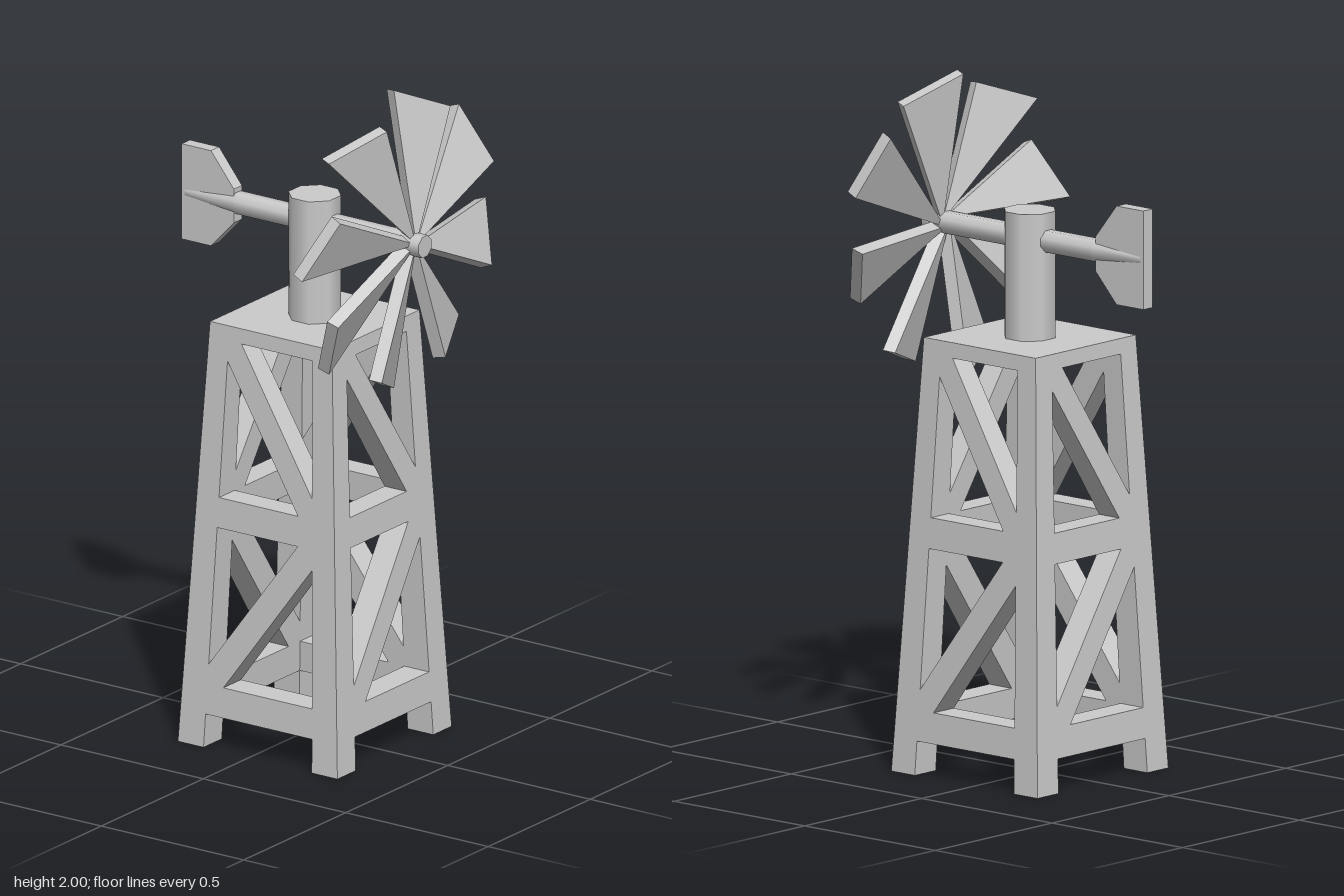
import * as THREE from 'three';

const material = new THREE.MeshStandardMaterial({ color: 0xcccccc });
const OUT = 0.28, INN = 0.19, DEPTH = OUT - INN; // outer and inner half widths at the foot
const TOP = 1.265, TOP_SCALE = 0.765;
const TOWER_Z = 0.033, AXIS_Y = 1.553;

function add(parent, name, geometry) {
  const mesh = new THREE.Mesh(geometry, material);
  mesh.name = name;
  parent.add(mesh);
  return mesh;
}

// Narrows a straight tower member towards the top
function taper(geometry) {
  const p = geometry.attributes.position;
  for (let i = 0; i < p.count; i++) {
    const s = 1 - (1 - TOP_SCALE) * p.getY(i) / TOP;
    p.setX(i, p.getX(i) * s);
    p.setZ(i, p.getZ(i) * s);
  }
  geometry.computeVertexNormals();
  return geometry;
}

function block(w, y0, y1, d, x, z) {
  return new THREE.BoxGeometry(w, y1 - y0, d).translate(x, (y0 + y1) / 2, z);
}

function polygon(points, depth) {
  const shape = new THREE.Shape(points.map(([x, y]) => new THREE.Vector2(x, y)));
  return new THREE.ExtrudeGeometry(shape, { depth, bevelEnabled: false });
}

// Diagonal brace fitted between two opposite corners of a panel
function brace(y0, y1, dir) {
  const a = 0.058, b = 0.06, w = INN;
  const pts = [[-w, y0], [-w + a, y0], [w, y1 - b], [w, y1], [w - a, y1], [-w, y0 + b]];
  return polygon(dir > 0 ? pts : pts.map(([x, y]) => [-x, y]).reverse(), DEPTH).translate(0, 0, INN);
}

// Eight-sided rod along z, with flats on the axes
function rod(rFront, rBack, zFront, zBack) {
  return new THREE.CylinderGeometry(rFront, rBack, zFront - zBack, 8)
    .rotateY(Math.PI / 8).rotateX(Math.PI / 2)
    .translate(0, AXIS_Y, (zFront + zBack) / 2);
}

export function createModel() {
  const model = new THREE.Group();
  model.name = 'windPump';

  // Tower: four identical sides, each with a leg, two rails and two braces
  const tower = new THREE.Group();
  tower.name = 'tower';
  tower.position.z = TOWER_Z;
  model.add(tower);
  const mid = (OUT + INN) / 2;
  for (let k = 0; k < 4; k++) {
    const side = new THREE.Group();
    side.name = 'towerSide';
    side.rotation.y = k * Math.PI / 2;
    tower.add(side);
    add(side, 'leg', taper(block(DEPTH, 0, 1.22, DEPTH, mid, mid)));
    add(side, 'lowerRail', taper(block(2 * INN, 0.1, 0.19, DEPTH, 0, mid)));
    add(side, 'middleRail', taper(block(2 * INN, 0.66, 0.75, DEPTH, 0, mid)));
    add(side, 'lowerBrace', taper(brace(0.19, 0.66, 1)));
    add(side, 'upperBrace', taper(brace(0.75, 1.22, -1)));
  }
  add(tower, 'topPlate', taper(block(2 * OUT, 1.22, TOP, 2 * OUT, 0, 0)));

  // Post carrying the shaft
  const post = new THREE.CylinderGeometry(0.077, 0.077, 0.37, 8).rotateY(Math.PI / 8);
  add(tower, 'post', post.translate(0, TOP + 0.185, 0));

  // Shaft, narrowing where it enters the tail vane
  add(model, 'shaft', rod(0.034, 0.034, 0.42, -0.23));
  add(model, 'shaftTail', rod(0.034, 0.021, -0.23, -0.419));

  // Tail vane, drawn in the side plane
  const vane = polygon([[0.42, 1.698], [0.317, 1.698], [0.237, 1.598],
    [0.237, 1.496], [0.317, 1.41], [0.42, 1.41]].reverse(), 0.04);
  add(model, 'tailVane', vane.translate(0, 0, -0.02).rotateY(Math.PI / 2));

  // Wheel of eight pitched, wedge-shaped blades
  const wheel = new THREE.Group();
  wheel.name = 'wheel';
  wheel.position.set(0, AXIS_Y, 0.389);
  model.add(wheel);
  const thickness = 0.038;
  const blade = polygon([[0, 0], [0.408, 0], [0.41, 0.202]], thickness)
    .translate(0, 0, -thickness)
    .rotateX(-0.396)
    .rotateZ(-0.426);
  for (let k = 0; k < 8; k++) add(wheel, 'blade', blade).rotation.z = k * Math.PI / 4;

  return model;
}
